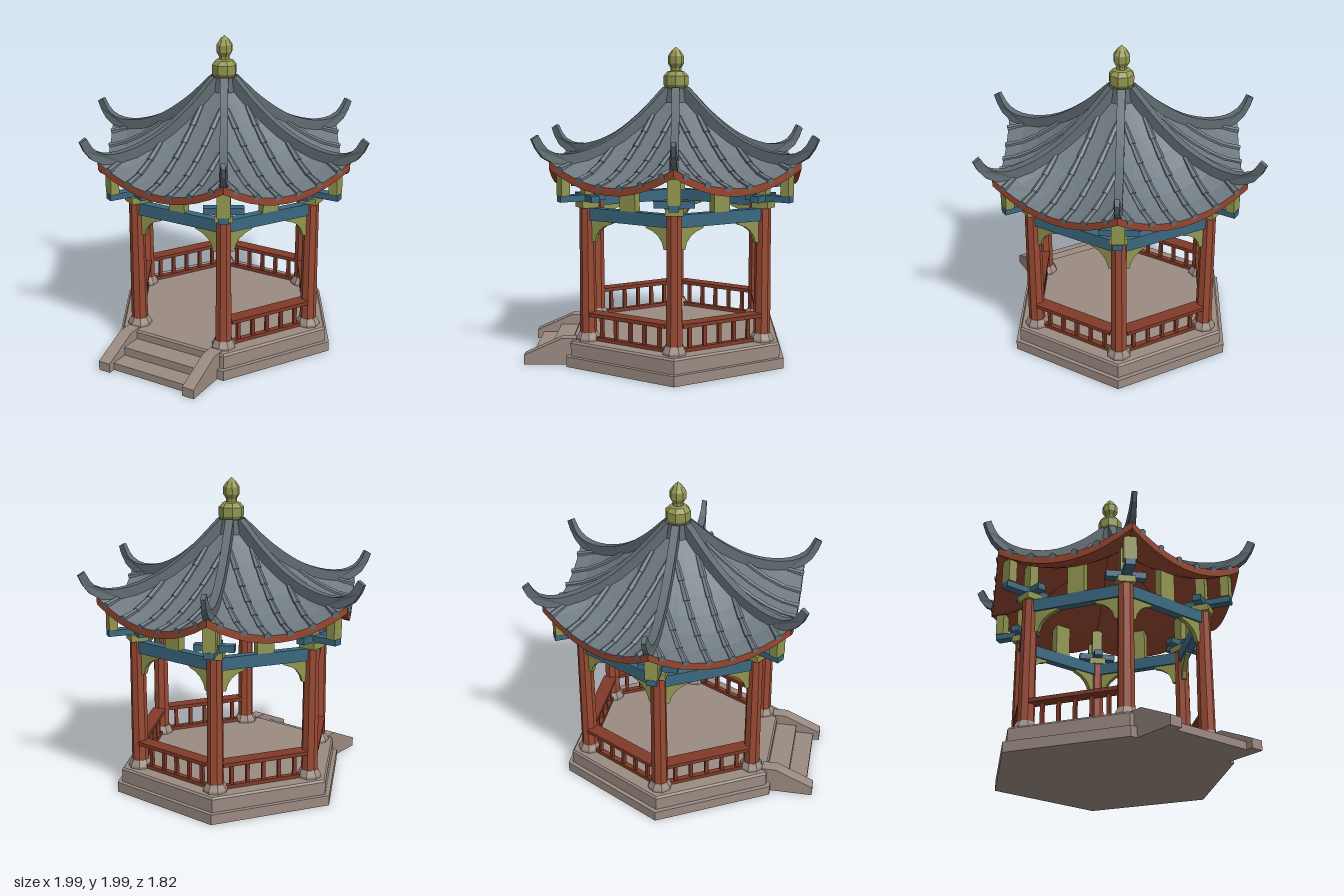
import * as THREE from 'three';

const paint = (name, color, extra = {}) => {
  const m = new THREE.MeshStandardMaterial({ color, flatShading: true, ...extra });
  m.name = name;
  return m;
};

export function createModel() {
  const stone = paint('stone', 0x9b8b82);
  const red = paint('redWood', 0x9a4a33);
  const soffitRed = paint('soffitRed', 0x96462f, { side: THREE.DoubleSide });
  const railRed = paint('railRed', 0x813b29);
  const blue = paint('blueBeam', 0x3a6880);
  const olive = paint('olive', 0x929650);
  const slate = paint('slate', 0x6d7880, { side: THREE.DoubleSide });
  const ridgeGrey = paint('ridgeGrey', 0x5f6b71);

  const model = new THREE.Group();
  model.name = 'pavilion';
  const body = new THREE.Group();
  body.name = 'body';
  body.position.z = -0.044;
  model.add(body);

  const add = (parent, name, geo, mat, x = 0, y = 0, z = 0) => {
    const m = new THREE.Mesh(geo, mat);
    m.name = name;
    m.position.set(x, y, z);
    parent.add(m);
    return m;
  };
  // box given by its bottom and top heights
  const box = (parent, name, mat, w, y0, y1, d, x = 0, z = 0) =>
    add(parent, name, new THREE.BoxGeometry(w, y1 - y0, d), mat, x, (y0 + y1) / 2, z);
  const prism = (parent, name, mat, r0, r1, y0, y1, n) => {
    const g = new THREE.CylinderGeometry(r1, r0, y1 - y0, n);
    g.rotateY(Math.PI / n);
    return add(parent, name, g, mat, 0, (y0 + y1) / 2, 0);
  };

  // Platform
  prism(body, 'lowerPlinth', stone, 0.785, 0.785, 0, 0.065, 6);
  prism(body, 'upperPlinth', stone, 0.754, 0.754, 0.065, 0.148, 6);
  prism(body, 'floor', stone, 0.754, 0.742, 0.148, 0.16, 6);

  // Front steps with sloping side walls
  box(body, 'lowerStep', stone, 0.54, 0, 0.048, 0.36, 0, 0.73);
  box(body, 'upperStep', stone, 0.54, 0, 0.102, 0.24, 0, 0.67);
  const wall = new THREE.Shape();
  [[0.62, 0], [0.954, 0], [0.954, 0.06], [0.713, 0.17], [0.62, 0.17]]
    .forEach(([z, y], i) => (i ? wall.lineTo(z, y) : wall.moveTo(z, y)));
  const wallGeo = new THREE.ExtrudeGeometry(wall, { depth: 0.081, bevelEnabled: false }).rotateY(-Math.PI / 2);
  for (const x of [0.348, -0.267]) add(body, 'stepWall', wallGeo, stone, x);

  // Roof surface: s runs from peak to eave, u from one ridge to the next
  const EAVE = 0.763, HALF = 0.4405;
  const roofY = (s, u) => 1.165 + 0.57 * Math.pow(1 - s, 1.6) + 0.135 * s * s * u * u;
  const roofPoint = (s, u, drop = 0) => new THREE.Vector3(u * s * HALF, roofY(s, u) - drop, s * EAVE);
  const bend = (geo, rule) => {
    const p = geo.attributes.position;
    for (let i = 0; i < p.count; i++) {
      const v = rule(p.getX(i), 0.5 - p.getY(i));
      p.setXYZ(i, v.x, v.y, v.z);
    }
    geo.computeVertexNormals();
    return geo;
  };
  const sheet = drop => bend(new THREE.PlaneGeometry(2, 1, 10, 7), (u, t) => roofPoint(0.04 + 0.96 * t, u, drop));
  const panelGeo = sheet(0), soffitGeo = sheet(0.047);
  const fasciaGeo = bend(new THREE.PlaneGeometry(2, 1, 10, 1), (u, t) => roofPoint(1, u, 0.047 * t));

  // Curved corner bracket under a beam
  const bracket = new THREE.Shape();
  bracket.moveTo(0.28, 0.93);
  bracket.lineTo(0.12, 0.93);
  bracket.lineTo(0.125, 0.912);
  bracket.quadraticCurveTo(0.235, 0.885, 0.25, 0.79);
  bracket.lineTo(0.28, 0.79);
  const bracketGeo = new THREE.ExtrudeGeometry(bracket, { depth: 0.03, bevelEnabled: false, curveSegments: 4 });
  bracketGeo.translate(0, 0, -0.015);

  // Six sides, each facing local +z
  const up = new THREE.Vector3(0, 1, 0);
  const APO = 0.5456;
  for (let k = 0; k < 6; k++) {
    const side = new THREE.Group();
    side.name = 'side';
    side.rotation.y = k * Math.PI / 3;
    body.add(side);

    box(side, 'beam', blue, 0.63, 0.925, 1.003, 0.055, 0, APO);
    box(side, 'middlePost', olive, 0.11, 1.003, 1.21, 0.055, 0, APO);
    add(side, 'bracket', bracketGeo, olive, 0, 0, APO);
    add(side, 'bracket', bracketGeo, olive, 0, 0, APO).rotation.y = Math.PI;

    // Bench railing on every side but the entrance
    if (k > 0) {
      box(side, 'benchBoard', railRed, 0.56, 0.32, 0.344, 0.09, 0, APO + 0.008);
      box(side, 'bottomRail', railRed, 0.56, 0.162, 0.185, 0.035, 0, APO);
      for (let i = -2; i <= 2; i++) box(side, 'baluster', railRed, 0.022, 0.18, 0.325, 0.022, i * 0.105, APO);
    }

    add(side, 'roofPanel', panelGeo, slate);
    add(side, 'soffit', soffitGeo, soffitRed);
    add(side, 'eaveBoard', fasciaGeo, soffitRed);

    // Rows of overlapping tapered tiles
    for (const x of [-0.36, -0.216, -0.072, 0.072, 0.216, 0.36]) {
      const s0 = Math.abs(x) / HALF + 0.05;
      const n = Math.max(1, Math.round((1 - s0) * 7));
      for (let i = 0; i < n; i++) {
        const sa = s0 + (1 - s0) * i / n, sb = s0 + (1 - s0) * (i + 1) / n;
        const a = roofPoint(sa, x / (sa * HALF)), b = roofPoint(sb, x / (sb * HALF));
        const dir = a.clone().sub(b);
        const tile = add(side, 'roofTile', new THREE.CylinderGeometry(0.016, 0.022, dir.length() + 0.008, 6), slate);
        tile.position.copy(a).add(b).multiplyScalar(0.5);
        tile.quaternion.setFromUnitVectors(up, dir.normalize());
      }
    }
  }

  // Upswept ridge: thick curve, narrowed towards its tip
  const curve = new THREE.CatmullRomCurve3([[0.06, 1.71], [0.25, 1.535], [0.47, 1.388], [0.68, 1.316],
    [0.83, 1.312], [0.92, 1.358], [0.973, 1.45]].map(([x, y]) => new THREE.Vector3(x, y, 0)));
  const upper = [], lower = [];
  for (let i = 0; i <= 18; i++) {
    const t = i / 18, p = curve.getPointAt(t), d = curve.getTangentAt(t);
    const h = 0.034 - 0.01 * Math.max(0, t - 0.8) / 0.2;
    upper.push(new THREE.Vector2(p.x - d.y * h, p.y + d.x * h));
    lower.unshift(new THREE.Vector2(p.x + d.y * h, p.y - d.x * h));
  }
  const ridgeGeo = new THREE.ExtrudeGeometry(new THREE.Shape([...upper, ...lower]), { depth: 0.05, bevelEnabled: false });
  ridgeGeo.translate(0, 0, -0.025);
  const rp = ridgeGeo.attributes.position;
  for (let i = 0; i < rp.count; i++) {
    rp.setZ(i, rp.getZ(i) * (1 - 0.5 * THREE.MathUtils.smoothstep(rp.getX(i), 0.84, 1)));
  }
  ridgeGeo.computeVertexNormals();

  // Six corners, each pointing along local +x
  for (let k = 0; k < 6; k++) {
    const corner = new THREE.Group();
    corner.name = 'corner';
    corner.rotation.y = k * Math.PI / 3;
    body.add(corner);
    const post = new THREE.Group();
    post.name = 'column';
    post.position.x = 0.63;
    corner.add(post);
    prism(post, 'columnFoot', stone, 0.077, 0.077, 0.16, 0.175, 8);
    prism(post, 'columnBase', stone, 0.077, 0.056, 0.175, 0.212, 8);
    prism(post, 'columnShaft', red, 0.053, 0.048, 0.2, 1.003, 8);
    box(post, 'capital', olive, 0.11, 1.003, 1.045, 0.11);
    box(post, 'crossArm', blue, 0.055, 1.045, 1.086, 0.245);
    box(post, 'upperPost', olive, 0.06, 1.086, 1.265, 0.07);
    box(corner, 'outerArm', blue, 0.3, 1.046, 1.085, 0.06, 0.67);
    box(corner, 'eavePost', olive, 0.055, 1.085, 1.235, 0.08, 0.79);
    add(corner, 'ridge', ridgeGeo, ridgeGrey);
  }

  // Peak collar and finial
  prism(body, 'peakCollar', ridgeGrey, 0.1, 0.085, 1.63, 1.73, 6);
  const finial = [[0, 1.72], [0.06, 1.72], [0.08, 1.75], [0.08, 1.805], [0.055, 1.832], [0.034, 1.838],
    [0.034, 1.855], [0.052, 1.885], [0.052, 1.93], [0.03, 1.962], [0, 1.99]].map(p => new THREE.Vector2(...p));
  add(body, 'finial', new THREE.LatheGeometry(finial, 8), olive);

  return model;
}
